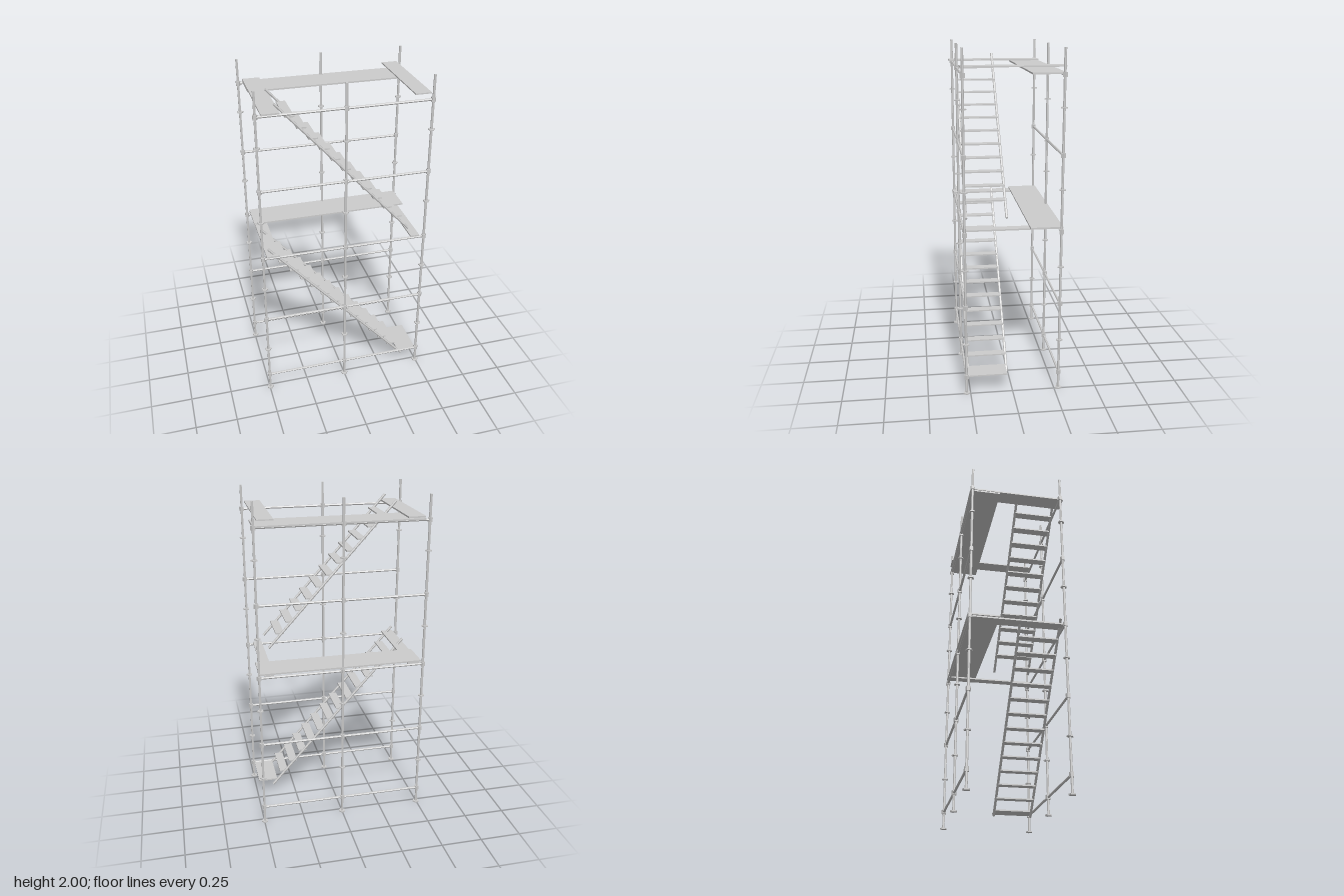
import * as THREE from 'three';

const material = new THREE.MeshStandardMaterial({ color: 0xcccccc, flatShading: true });
const POST_X = [-0.497, 0, 0.497];
const POST_Z = [-0.275, 0.273];
const RAIL_Y = [0.108, 0.545, 0.982, 1.42, 1.858];
const TUBE = 0.0075;

function add(parent, name, geometry, x = 0, y = 0, z = 0) {
  const mesh = new THREE.Mesh(geometry, material);
  mesh.name = name;
  mesh.position.set(x, y, z);
  parent.add(mesh);
  return mesh;
}

// Straight tube between two points
function tube(parent, name, a, b, radius) {
  const from = new THREE.Vector3(...a), to = new THREE.Vector3(...b);
  const dir = to.clone().sub(from);
  const mesh = add(parent, name, new THREE.CylinderGeometry(radius, radius, dir.length(), 6));
  mesh.position.copy(from).add(to).multiplyScalar(0.5);
  mesh.quaternion.setFromUnitVectors(new THREE.Vector3(0, 1, 0), dir.normalize());
}

// Box given by its extents
function plank(parent, name, [x0, x1], y, [z0, z1], thickness = 0.009) {
  add(parent, name, new THREE.BoxGeometry(x1 - x0, thickness, z1 - z0), (x0 + x1) / 2, y, (z0 + z1) / 2);
}

// Five-sided disc with a corner toward +x
const disc = (r, h) => new THREE.CylinderGeometry(r, r, h, 5, 1, false, Math.PI / 2);

// Upright with foot, joint collars and rail couplers
function buildPost(x, z) {
  const post = new THREE.Group();
  post.name = 'post';
  post.position.set(x, 0, z);
  add(post, 'upright', new THREE.CylinderGeometry(TUBE, TUBE, 2, 6), 0, 1, 0);
  add(post, 'foot', disc(0.021, 0.008), 0, 0.004, 0);
  const collars = x === 0 ? [0.327, 0.771, 1.22, 1.668] : [0.316, 0.771, 1.225, 1.681];
  for (const y of collars) add(post, 'collar', disc(0.02, 0.007), 0, y, 0);
  for (const y of RAIL_Y) add(post, 'coupler', disc(0.0145, 0.026), 0, y, 0);
  return post;
}

// Flight of stairs: two stringers and evenly spaced treads
function buildStairs(name, top, bottom, firstTread, lastTread, count) {
  const stairs = new THREE.Group();
  stairs.name = name;
  for (const z of [0.024, 0.257]) tube(stairs, 'stringer', [...top, z], [...bottom, z], 0.008);
  for (let i = 0; i < count; i++) {
    const t = i / (count - 1);
    const x = THREE.MathUtils.lerp(firstTread[0], lastTread[0], t);
    const y = THREE.MathUtils.lerp(firstTread[1], lastTread[1], t);
    plank(stairs, 'tread', [x - 0.026, x + 0.026], y, [0.024, 0.257], 0.008);
  }
  return stairs;
}

export function createModel() {
  const model = new THREE.Group();
  model.name = 'scaffoldTower';

  // Frame
  for (const z of POST_Z) {
    for (const x of POST_X) model.add(buildPost(x, z));
    for (const y of RAIL_Y) tube(model, 'rail', [-0.497, y, z], [0.497, y, z], TUBE);
  }

  // Stairs and the board at their foot
  model.add(buildStairs('lowerStairs', [-0.462, 1.035], [0.397, 0.075], [-0.374, 0.932], [0.325, 0.165], 12));
  model.add(buildStairs('upperStairs', [-0.392, 1.915], [0.397, 1.045], [-0.31, 1.835], [0.325, 1.135], 11));
  plank(model, 'footBoard', [0.37, 0.49], 0.106, [0.03, 0.265], 0.008);

  // Middle landing
  plank(model, 'middleWalkway', [-0.48, 0.497], 1.006, [-0.285, -0.1]);
  plank(model, 'middleLeftBoard', [-0.475, -0.4], 0.995, [-0.28, 0.283]);
  plank(model, 'middleRightBoard', [0.41, 0.465], 0.994, [-0.28, 0.28]);

  // Top landing
  plank(model, 'topWalkway', [-0.47, 0.5], 1.864, [-0.286, -0.1]);
  plank(model, 'topLeftBoard', [-0.47, -0.37], 1.876, [-0.282, 0.3]);
  plank(model, 'topRightBoard', [0.387, 0.48], 1.9, [-0.29, 0.283], 0.007);

  return model;
}
